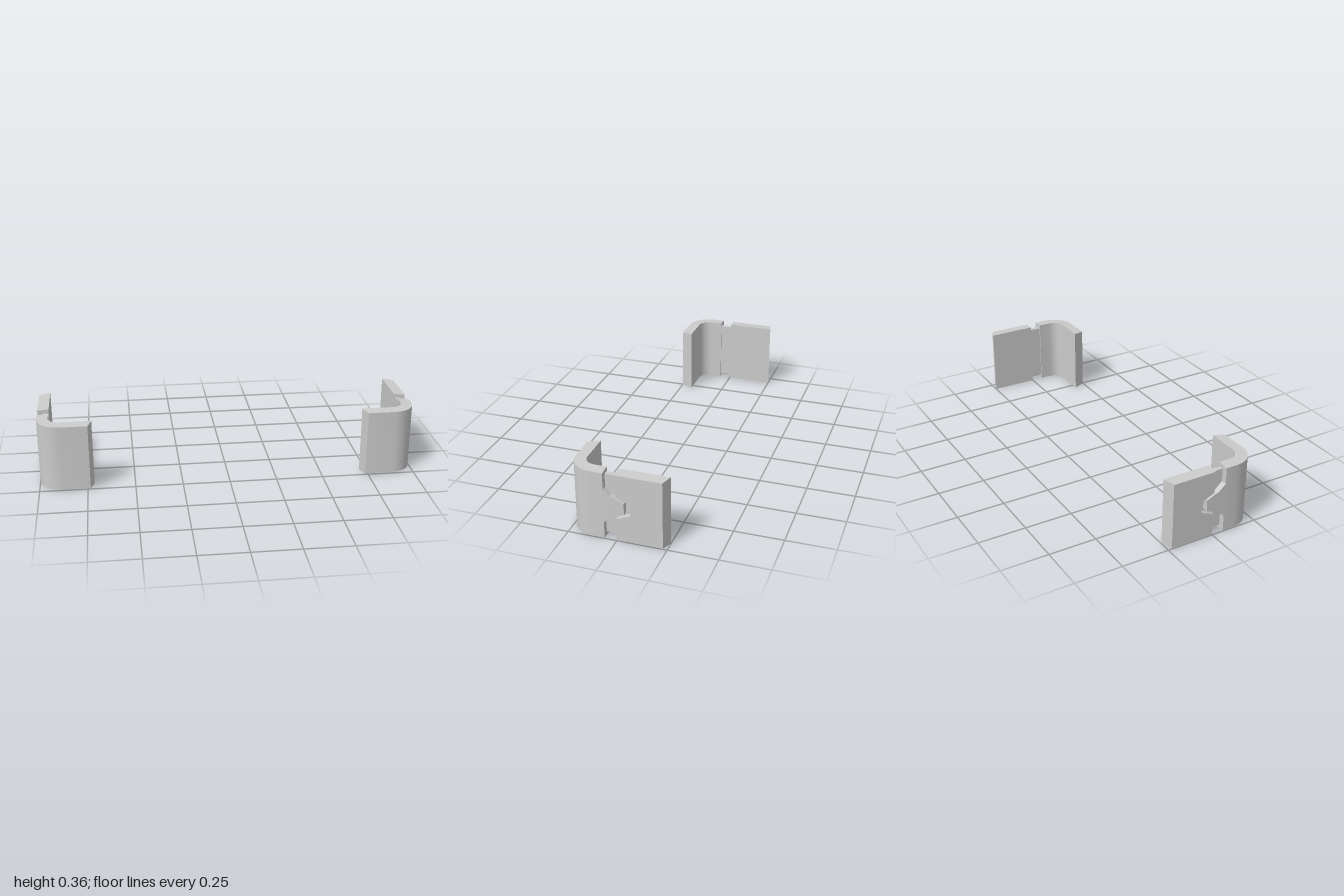
import * as THREE from 'three';
import { toCreasedNormals } from 'three/addons/utils/BufferGeometryUtils.js';

const H = 0.358, MID = H / 2;      // height of a bracket and its mid line
const CX = 0.88, CZ = 0.125;       // centre of the rounded corner
const RI = 0.06, RO = 0.12;        // inner and outer corner radius
const FLOOR = 0.97;                // x of the groove floor
const material = new THREE.MeshStandardMaterial({ color: 0xcccccc });

const shapeOf = (points) => new THREE.Shape(points.map(([a, b]) => new THREE.Vector2(a, b)));

// Plan outline (x, z) raised from y = 0 to H
function raise(points) {
  const g = new THREE.ExtrudeGeometry(shapeOf(points), { depth: H, bevelEnabled: false });
  return g.rotateX(Math.PI / 2).translate(0, H, 0);
}

// Side outline (z, y) spanning the outer layer from the groove floor to x = 1
function outerLayer(points) {
  const g = new THREE.ExtrudeGeometry(shapeOf(points.map(([z, y]) => [-z, y])),
    { depth: 1 - FLOOR, bevelEnabled: false });
  return g.rotateY(Math.PI / 2).translate(FLOOR, 0, 0);
}

// Slope the top and bottom rims towards the outside, and slant the rear end
function trim(g) {
  const p = g.attributes.position;
  for (let i = 0; i < p.count; i++) {
    const x = p.getX(i), y = p.getY(i), z = p.getZ(i);
    const d = Math.hypot(Math.max(x - CX, 0), Math.max(z - CZ, 0));
    const out = THREE.MathUtils.clamp((d - RI) / (RO - RI), 0, 1);
    if (Math.abs(y - MID) > 0.17) p.setY(i, y - Math.sign(y - MID) * 0.004 * out);
    if (z < -0.2) p.setZ(i, -0.25 + 0.02 * out);
  }
  return toCreasedNormals(g, 0.6);
}

function arc(radius, from, to, steps = 6) {
  return Array.from({ length: steps + 1 }, (_, i) => {
    const a = from + (to - from) * i / steps;
    return [CX + radius * Math.cos(a), CZ + radius * Math.sin(a)];
  });
}

function createBracket(name) {
  const bracket = new THREE.Group();
  bracket.name = name;
  const add = (part, geometry) => {
    const mesh = new THREE.Mesh(geometry, material);
    mesh.name = part;
    bracket.add(mesh);
  };

  // Curved front plate with its inward flange
  add('cornerPlate', trim(raise([
    [0.94, 0.062], [1, 0.062],
    ...arc(RO, 0, Math.PI / 2),
    [0.735, CZ + RO], [0.715, CZ + RI],
    ...arc(RI, Math.PI / 2, 0),
  ])));

  // Pointed tongue reaching back over the groove
  add('tongue', toCreasedNormals(outerLayer([
    [0.062, 0.09], [0.062, 0.268], [0.03, 0.238], [-0.04, 0.209],
    [-0.04, 0.149], [0.03, 0.12],
  ]), 0.3));

  // Rear plate: full inner layer, notched outer layer
  add('rearPlateInner', trim(raise([
    [0.94, -0.25], [FLOOR, -0.25], [FLOOR, 0], [0.94, 0],
  ])));
  add('rearPlateOuter', trim(outerLayer([
    [-0.25, 0], [0, 0], [0, 0.12], [-0.07, 0.149],
    [-0.07, 0.209], [0, 0.238], [0, H], [-0.25, H],
  ])));

  // Recessed web joining the plates
  const web = new THREE.BoxGeometry(FLOOR - 0.946, 0.316, 0.066);
  web.translate((FLOOR + 0.946) / 2, MID, 0.031);
  add('grooveWeb', web);

  return bracket;
}

export function createModel() {
  const model = new THREE.Group();
  model.name = 'cornerBrackets';
  model.add(createBracket('leftBracket'));

  // Each bracket is symmetric in height, so a half turn gives the mirrored one
  const right = createBracket('rightBracket');
  right.rotation.z = Math.PI;
  right.position.y = H;
  model.add(right);
  return model;
}
